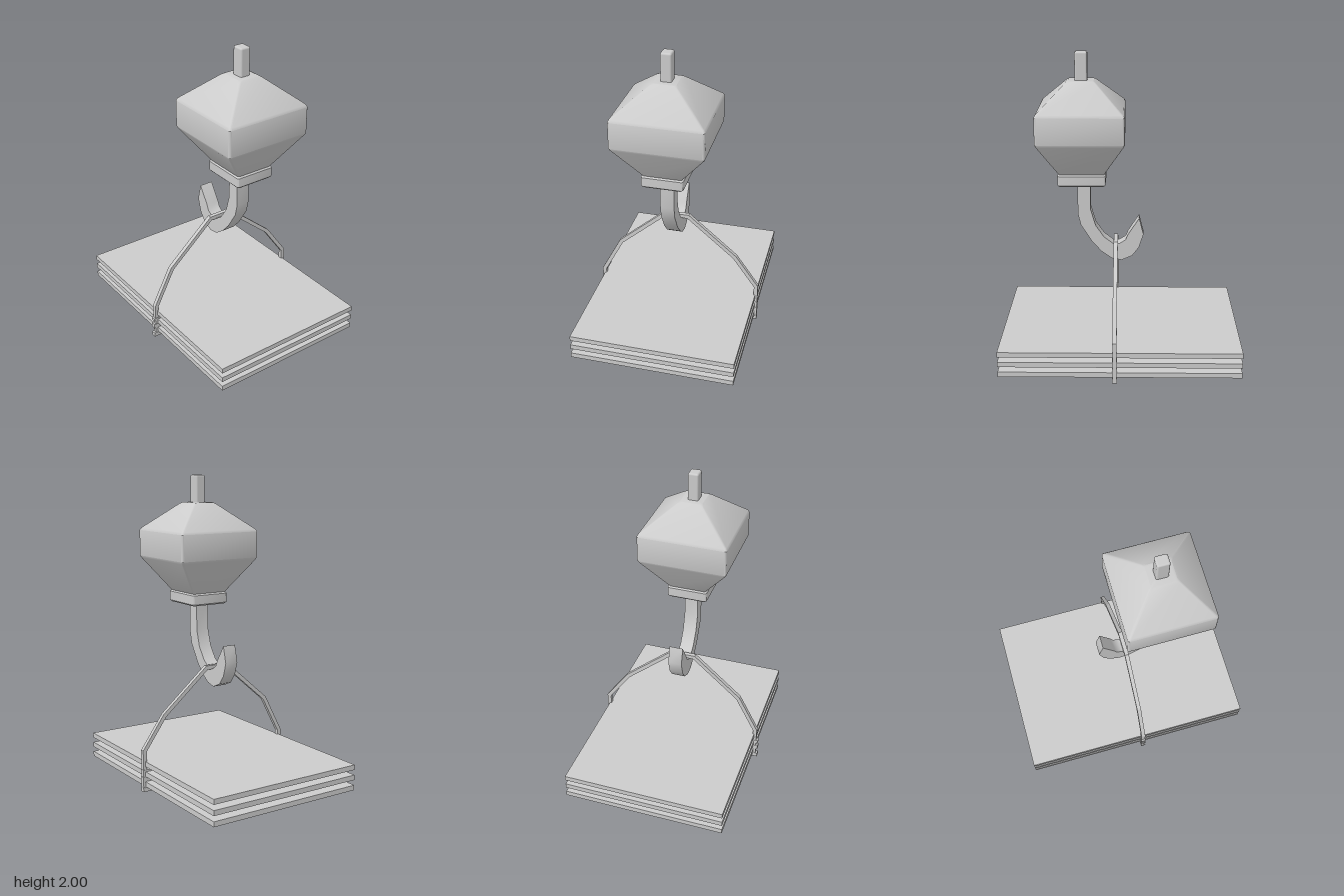
import * as THREE from 'three';
import { toCreasedNormals } from 'three/addons/utils/BufferGeometryUtils.js';
import { RoundedBoxGeometry } from 'three/addons/geometries/RoundedBoxGeometry.js';

const material = new THREE.MeshStandardMaterial({ color: 0xcccccc });
const CX = -0.013, BLOCK_Z = 0.25, ROPE_Z = 0.033;

function add(parent, name, geometry, x = 0, y = 0, z = 0) {
  const mesh = new THREE.Mesh(geometry, material);
  mesh.name = name;
  mesh.position.set(x, y, z);
  parent.add(mesh);
  return mesh;
}

// Closed loft through rounded rectangles, each given as [y, half width, half depth]
function loftRectangles(rings, radius, steps = 3) {
  const positions = [], index = [], n = 4 * (steps + 1);
  for (const [y, hx, hz] of rings) {
    for (let q = 0; q < 4; q++) {
      const sx = q === 0 || q === 3 ? 1 : -1, sz = q < 2 ? 1 : -1;
      for (let s = 0; s <= steps; s++) {
        const a = (q + s / steps) * Math.PI / 2;
        positions.push(sx * (hx - radius) + radius * Math.cos(a), y, sz * (hz - radius) + radius * Math.sin(a));
      }
    }
  }
  const last = rings.length - 1;
  for (let i = 0; i < last; i++) {
    for (let j = 0; j < n; j++) {
      const k = (j + 1) % n, a = i * n + j, b = i * n + k;
      index.push(a, a + n, b, b, a + n, b + n);
    }
  }
  for (let j = 1; j < n - 1; j++) {
    index.push(0, j, j + 1, last * n, last * n + j + 1, last * n + j);
  }
  const geometry = new THREE.BufferGeometry();
  geometry.setAttribute('position', new THREE.Float32BufferAttribute(positions, 3));
  geometry.setIndex(index);
  return toCreasedNormals(geometry, 0.5);
}

// Square-section strap along an x-y polyline with mitred corners
function strap(points, width, depth) {
  const path = points.map(p => new THREE.Vector2(...p));
  const left = [], right = [];
  path.forEach((p, i) => {
    const before = p.clone().sub(path[Math.max(i - 1, 0)]).normalize();
    const after = path[Math.min(i + 1, path.length - 1)].clone().sub(p).normalize();
    const dir = before.clone().add(after).normalize();
    const reference = i ? before : after;
    const offset = new THREE.Vector2(-dir.y, dir.x).multiplyScalar(width / 2 / dir.dot(reference));
    left.push(p.clone().add(offset));
    right.unshift(p.clone().sub(offset));
  });
  const shape = new THREE.Shape([...left, ...right]);
  return new THREE.ExtrudeGeometry(shape, { depth, bevelEnabled: false }).translate(0, 0, -depth / 2);
}

export function createModel() {
  const model = new THREE.Group();
  model.name = 'craneHookWithLoad';

  // Pulley block with a collar below and a stem above
  const block = new THREE.Group();
  block.name = 'block';
  block.position.set(CX, 0, BLOCK_Z);
  model.add(block);
  add(block, 'blockBody', loftRectangles([
    [1.155, 0.123, 0.143], [1.165, 0.133, 0.153], [1.225, 0.133, 0.153], [1.235, 0.126, 0.145],
    [1.45, 0.285, 0.27], [1.465, 0.292, 0.277], [1.635, 0.292, 0.277], [1.65, 0.284, 0.269],
    [1.813, 0.088, 0.095], [1.822, 0.072, 0.08],
  ], 0.014));
  add(block, 'stem', new RoundedBoxGeometry(0.07, 0.2, 0.08, 2, 0.012), 0, 1.9, 0);

  // Hook outline in z and y, extruded across x
  const outline = [
    [0.28, 1.17], [0.28, 0.95], [0.262, 0.875], [0.19, 0.76], [0.127, 0.69], [0.06, 0.642],
    [-0.005, 0.63], [-0.074, 0.66], [-0.12, 0.72], [-0.148, 0.81], [-0.12, 0.92],
    [-0.048, 0.81], [-0.03, 0.77], [0.01, 0.745], [0.05, 0.745], [0.11, 0.79],
    [0.165, 0.87], [0.197, 0.98], [0.197, 1.17],
  ].map(p => new THREE.Vector2(...p));
  const hook = new THREE.ExtrudeGeometry(new THREE.Shape(outline), { depth: 0.09, bevelEnabled: false });
  hook.translate(0, 0, -0.045).rotateY(-Math.PI / 2);
  add(model, 'hook', toCreasedNormals(hook, 0.6), CX, 0, 0);

  // Stack of spaced slabs
  for (let i = 0; i < 3; i++) {
    add(model, 'slab', new THREE.BoxGeometry(1.07, 0.033, 1.54), 0.003, 0.05 + i * 0.0675, 0);
  }

  // Sling hung over the hook, with cross ties under the slabs
  const sling = new THREE.Group();
  sling.name = 'sling';
  sling.position.z = ROPE_Z;
  model.add(sling);
  add(sling, 'slingStrap', strap([
    [-0.535, 0.005], [-0.535, 0.235], [-0.405, 0.483], [-0.092, 0.755],
    [0.066, 0.755], [0.388, 0.483], [0.54, 0.27], [0.54, 0.005],
  ], 0.026, 0.027));
  for (const [y, height] of [[0.014, 0.028], [0.084, 0.03], [0.136, 0.02]]) {
    add(sling, 'crossTie', new THREE.BoxGeometry(1.115, height, 0.031), -0.003, y, 0);
  }
  return model;
}
